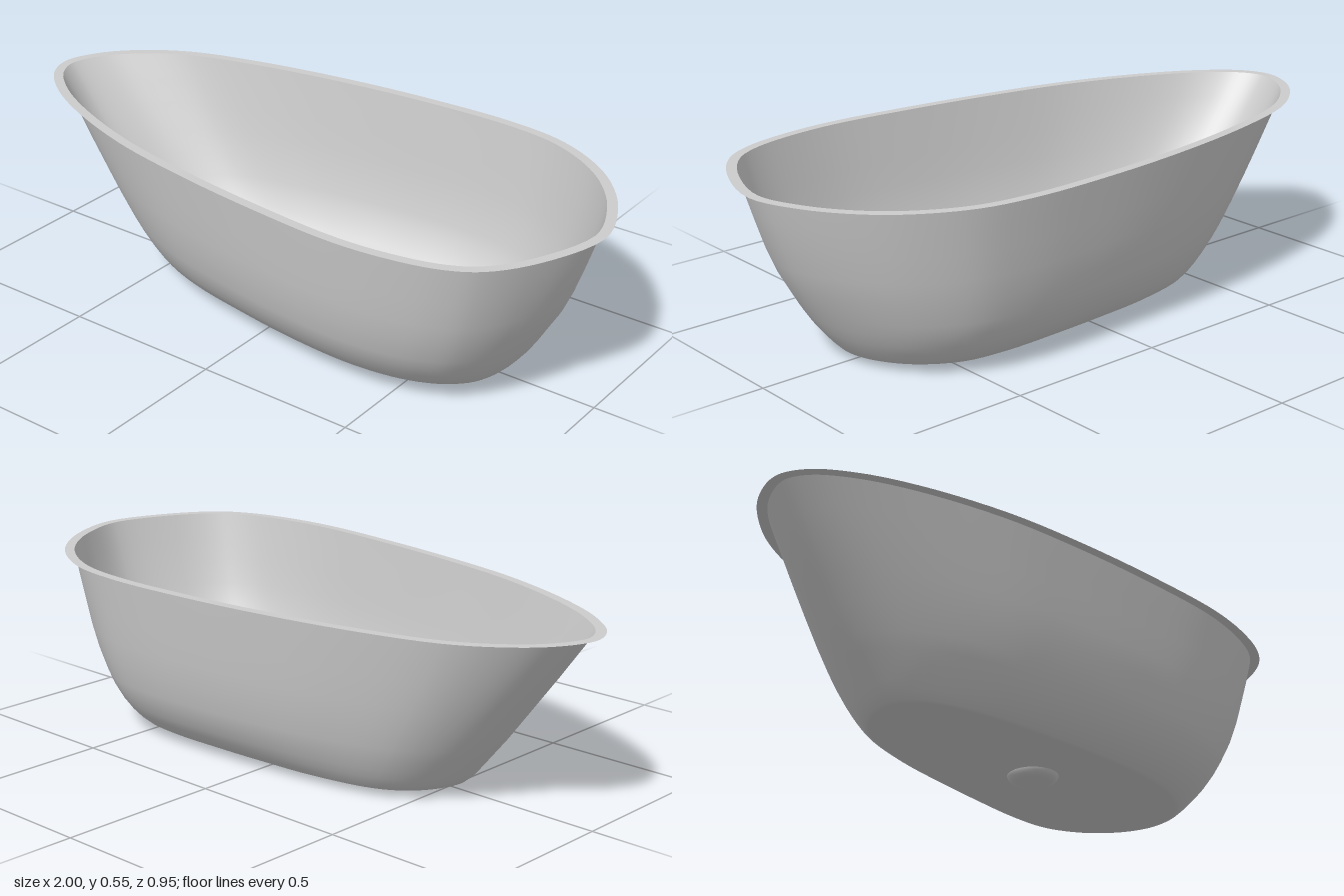
import * as THREE from 'three';

const SEG = 120;
const RIM_Y = 0.545, FLOOR_Y = 0.02;
const DRAIN = { x: 0.12, z: -0.017, r: 0.078 };

// Egg-shaped plan outlines [x, z]: from the narrow end, round the back, to the front
const RIM = [
  [-1, -0.02], [-0.95, -0.14], [-0.85, -0.24], [-0.715, -0.32], [-0.45, -0.395], [-0.13, -0.448],
  [0.14, -0.472], [0.4, -0.477], [0.59, -0.45], [0.75, -0.373], [0.86, -0.277], [0.95, -0.144],
  [1, 0.02], [0.93, 0.24], [0.84, 0.365], [0.75, 0.42], [0.62, 0.455], [0.43, 0.472],
  [0.14, 0.45], [-0.18, 0.405], [-0.45, 0.347], [-0.715, 0.25], [-0.875, 0.16], [-0.97, 0.07],
];
const FLOOR = [
  [-0.55, -0.015], [-0.53, -0.085], [-0.48, -0.155], [-0.395, -0.21], [-0.2, -0.255], [0, -0.272],
  [0.17, -0.28], [0.36, -0.282], [0.5, -0.262], [0.6, -0.205], [0.66, -0.14], [0.7, -0.06],
  [0.71, 0.02], [0.68, 0.117], [0.62, 0.178], [0.55, 0.215], [0.46, 0.24], [0.33, 0.252],
  [0.12, 0.24], [-0.08, 0.212], [-0.26, 0.18], [-0.41, 0.135], [-0.5, 0.085], [-0.54, 0.035],
];

// Wall profile: [height, flare of the sides, of the narrow end, of the wide end]
const PROFILE = [
  [0.02, -0.16, -0.1, -0.16], [0.02, -0.06, -0.04, -0.06], [0.024, 0.01, 0, 0],
  [0.045, 0.16, 0.06, 0.08], [0.07, 0.3, 0.11, 0.16], [0.1, 0.43, 0.17, 0.25],
  [0.14, 0.56, 0.25, 0.35], [0.18, 0.65, 0.33, 0.44], [0.25, 0.755, 0.46, 0.6],
  [0.32, 0.83, 0.59, 0.72], [0.4, 0.89, 0.74, 0.83], [0.47, 0.945, 0.865, 0.92], [RIM_Y, 1, 1, 1],
];

// Smooth closed ring through plan points
function ring(points, y) {
  const curve = new THREE.CatmullRomCurve3(points.map(([x, z]) => new THREE.Vector3(x, y, z)), true);
  return Array.from({ length: SEG }, (_, i) => curve.getPoint(i / SEG));
}

// Moves a ring inwards by a constant distance
function inset(points, d) {
  return points.map((p, i) => {
    const t = points[(i + 1) % SEG].clone().sub(points[(i + SEG - 1) % SEG]).normalize();
    return new THREE.Vector3(p.x - t.z * d, p.y, p.z + t.x * d);
  });
}

// Skin across successive closed rings
function loft(rings) {
  const index = [];
  for (let r = 0; r < rings.length - 1; r++) {
    for (let i = 0; i < SEG; i++) {
      const a = r * SEG + i, b = r * SEG + (i + 1) % SEG;
      index.push(a, a + SEG, b, b, a + SEG, b + SEG);
    }
  }
  const geometry = new THREE.BufferGeometry().setFromPoints(rings.flat());
  geometry.setIndex(index);
  geometry.computeVertexNormals();
  return geometry;
}

export function createModel() {
  const group = new THREE.Group();
  group.name = 'bathtub';
  const material = new THREE.MeshStandardMaterial({ color: 0xcccccc, side: THREE.DoubleSide });
  const add = (name, geometry) => {
    const mesh = new THREE.Mesh(geometry, material);
    mesh.name = name;
    group.add(mesh);
    return mesh;
  };

  const outer = ring(RIM, RIM_Y);
  const wallTop = inset(outer, 0.03);
  const base = ring(FLOOR, FLOOR_Y);
  const { lerp } = THREE.MathUtils;

  // Basin wall, flaring differently at each end and along the sides
  const wall = PROFILE.map(([y, side, narrow, wide]) => base.map((f, i) => {
    const top = wallTop[i];
    const end = lerp(narrow, wide, (top.x + 0.97) / 1.94);
    return new THREE.Vector3(lerp(f.x, top.x, end), y, lerp(f.z, top.z, side));
  }));
  add('basinWall', loft(wall));

  // Flat floor with a round opening for the drain
  const opening = wall[0].map((p) => {
    const a = Math.atan2(p.z - DRAIN.z, p.x - DRAIN.x);
    return new THREE.Vector3(DRAIN.x + DRAIN.r * Math.cos(a), FLOOR_Y, DRAIN.z + DRAIN.r * Math.sin(a));
  });
  add('basinFloor', loft([opening, wall[0]]));

  // Thin flat lip around the top
  add('rim', loft([wallTop, outer]));

  // Shallow drain dish below the floor
  const dish = [[0, 0], [0.05, 0], [0.06, 0.002], [0.069, 0.007], [0.075, 0.013], [DRAIN.r, FLOOR_Y]];
  const drain = add('drain', new THREE.LatheGeometry(dish.map(([r, y]) => new THREE.Vector2(r, y)), 48));
  drain.position.set(DRAIN.x, 0, DRAIN.z);

  return group;
}
